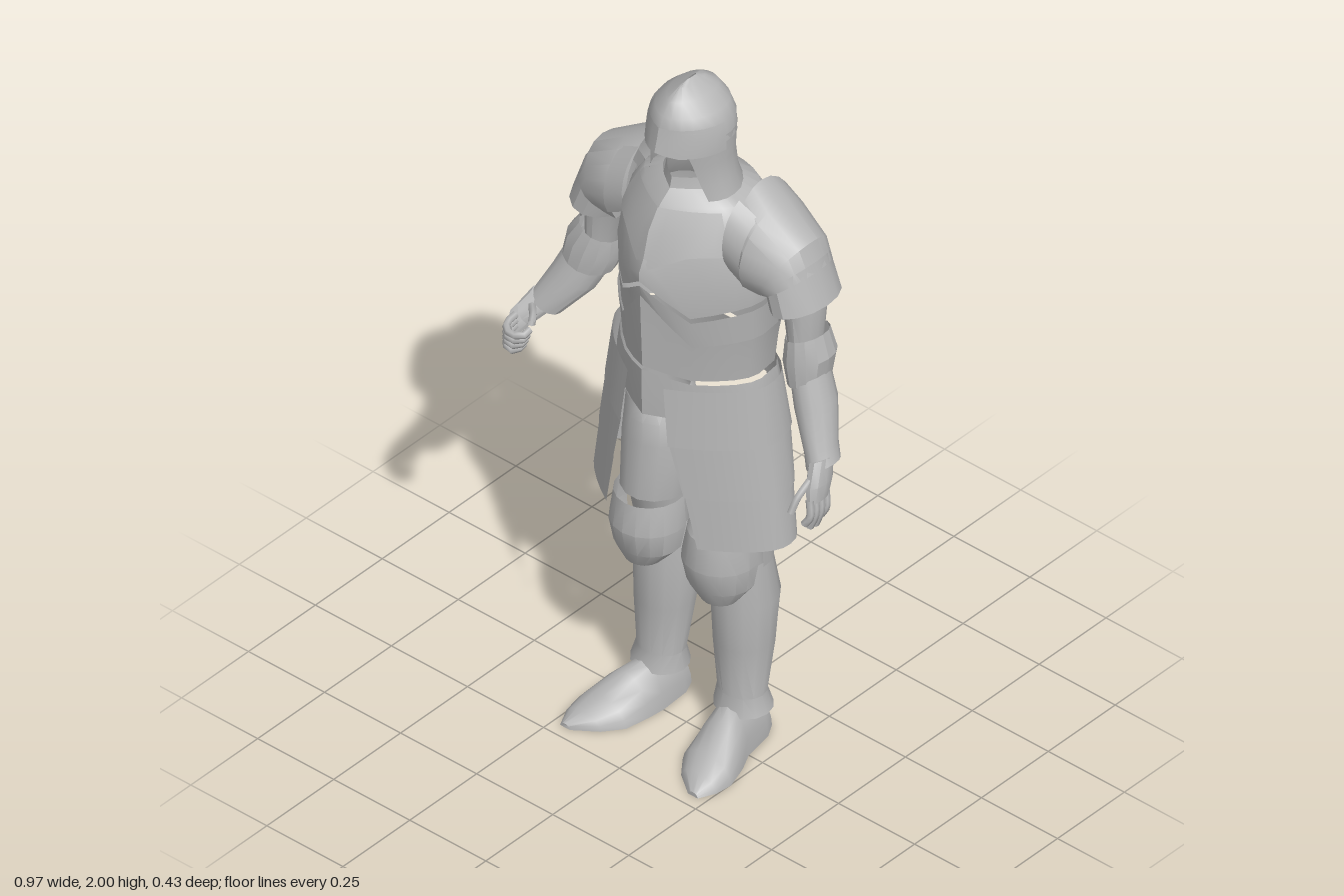
import * as THREE from 'three';
import { toCreasedNormals } from 'three/addons/utils/BufferGeometryUtils.js';

const steel = new THREE.MeshStandardMaterial({ color: 0xb4b4b4, side: THREE.DoubleSide });
steel.name = 'steel';
const RAD = Math.PI / 180;

// Skin a list of rings; closed joins each ring's ends, caps fill the first and last ring
function loft(name, rings, { closed = true, caps = false, crease = 32 } = {}) {
  const n = rings[0].length, pos = rings.flat(2), idx = [];
  const span = closed ? n : n - 1;
  for (let r = 0; r < rings.length - 1; r++)
    for (let i = 0; i < span; i++) {
      const a = r * n + i, b = r * n + (i + 1) % n;
      idx.push(a, b, a + n, b, b + n, a + n);
    }
  if (caps) {
    const last = (rings.length - 1) * n;
    for (let i = 1; i < n - 1; i++) idx.push(0, i + 1, i, last, last + i, last + i + 1);
  }
  const g = new THREE.BufferGeometry();
  g.setAttribute('position', new THREE.Float32BufferAttribute(pos, 3));
  g.setIndex(idx);
  const mesh = new THREE.Mesh(toCreasedNormals(g, crease * RAD), steel);
  mesh.name = name;
  return mesh;
}

// Angles of a ring: full circle without its last point, or an arc with both ends
function angles(n, a0, a1) {
  const full = a1 - a0 >= 360;
  return Array.from({ length: full ? n : n + 1 }, (_, i) => (a0 + (a1 - a0) * i / n) * RAD);
}

// Body ring around x = 0: keel sharpens the front, back flattens the rear, dip and side shape a chevron edge
function bodyRing(y, rx, z0, z1, { keel = 0.5, back = 0.55, dip = 0, side = 0, n = 24, a0 = 0, a1 = 360 } = {}) {
  const cz = -0.03;
  return angles(n, a0, a1).map(t => {
    const s = Math.abs(Math.sin(t)), c = Math.cos(t), front = c > -1e-6;
    const z = front ? (z1 - cz) * (keel * (1 - s) + (1 - keel) * c) : (z0 - cz) * Math.pow(-c, back);
    const rise = front ? (s < 0.5 ? dip * (1 - s / 0.5) : side * (s - 0.5) / 0.5) : side;
    return [rx * Math.sin(t), y + rise, cz + z];
  });
}

// Limb ring through an outer and an inner point of the front outline, with a depth range
function limbRing([xo, yo, xi, yi, z0, z1], n = 14, a0 = 0, a1 = 360) {
  return angles(n, a0, a1).map(t => {
    const c = Math.cos(t) / 2, s = Math.sin(t) / 2;
    return [(xo + xi) / 2 + (xo - xi) * c, (yo + yi) / 2 + (yo - yi) * c, (z0 + z1) / 2 + (z1 - z0) * s];
  });
}

function limb(name, rows, { n = 14, a0 = 0, a1 = 360, ...opts } = {}) {
  return loft(name, rows.map(r => limbRing(r, n, a0, a1)), { closed: a1 - a0 >= 360, ...opts });
}

// Level ring rows [y, inner x, outer x, back z, front z]
const level = rows => rows.map(([y, xi, xo, z0, z1]) => [xo, y, xi, y, z0, z1]);

function finger(name, points) {
  const path = new THREE.CatmullRomCurve3(points.map(p => new THREE.Vector3(...p)));
  const mesh = new THREE.Mesh(new THREE.TubeGeometry(path, 6, 0.0105, 6), steel);
  mesh.name = name;
  return mesh;
}

function makeHead() {
  const g = new THREE.Group();
  g.name = 'helmet';
  const k = { keel: 0.12, back: 0.9 };
  g.add(loft('skull', [
    bodyRing(1.85, 0.11, -0.127, 0.1, k), bodyRing(1.9, 0.106, -0.128, 0.103, k),
    bodyRing(1.935, 0.088, -0.118, 0.088, k), bodyRing(1.967, 0.052, -0.098, 0.062, k),
    bodyRing(1.99, 0.016, -0.064, 0.025, k), bodyRing(2, 0.002, -0.035, -0.005, k)], { crease: 40 }));
  const brow = { keel: 0.2, n: 12, a0: -85, a1: 85 };
  g.add(loft('browPlate', [
    bodyRing(1.91, 0.106, -0.127, 0.104, brow), bodyRing(1.88, 0.114, -0.127, 0.11, brow),
    bodyRing(1.83, 0.115, -0.127, 0.12, { ...brow, dip: 0.012 })], { closed: false }));
  const wall = a => ({ keel: 0.1, back: 0.9, n: 18, a0: a, a1: 360 - a });
  g.add(loft('cheekAndNeckGuard', [
    bodyRing(1.87, 0.11, -0.127, 0.1, wall(30)), bodyRing(1.79, 0.106, -0.124, 0.09, wall(42)),
    bodyRing(1.73, 0.112, -0.13, 0.08, wall(48)), bodyRing(1.685, 0.124, -0.145, 0.07, wall(52))], { closed: false }));
  g.add(loft('gorget', [
    bodyRing(1.6, 0.13, -0.14, 0.1), bodyRing(1.67, 0.088, -0.11, 0.068),
    bodyRing(1.73, 0.076, -0.1, 0.055)]));
  return g;
}

function makeTorso() {
  const g = new THREE.Group();
  g.name = 'torso';
  g.add(loft('breastplate', [
    bodyRing(1.375, 0.222, -0.198, 0.178, { dip: 0.1, side: 0.03 }),
    bodyRing(1.44, 0.225, -0.21, 0.178, { dip: 0.06, side: 0.02 }),
    bodyRing(1.53, 0.213, -0.215, 0.163), bodyRing(1.61, 0.19, -0.205, 0.132),
    bodyRing(1.67, 0.15, -0.175, 0.098), bodyRing(1.7, 0.09, -0.13, 0.06)]));
  const arc = { n: 12, a0: -55, a1: 55 };
  g.add(loft('upperChestPlate', [
    bodyRing(1.665, 0.165, -0.17, 0.107, arc), bodyRing(1.61, 0.197, -0.2, 0.142, arc),
    bodyRing(1.56, 0.213, -0.2, 0.17, { ...arc, dip: -0.06 })], { closed: false }));
  g.add(loft('middleBand', [
    bodyRing(1.27, 0.218, -0.183, 0.165, { dip: 0.145, side: 0.02 }),
    bodyRing(1.36, 0.224, -0.194, 0.176, { dip: 0.1, side: 0.03 })]));
  g.add(loft('waistPlate', [
    bodyRing(1.175, 0.212, -0.17, 0.165, { dip: 0.03 }),
    bodyRing(1.24, 0.219, -0.178, 0.17, { dip: 0.08, side: 0.01 }),
    bodyRing(1.285, 0.227, -0.188, 0.174, { dip: 0.145, side: 0.02 })]));
  g.add(loft('hipPlate', [
    bodyRing(1.165, 0.22, -0.165, 0.168, { dip: 0.03 }),
    bodyRing(1.11, 0.23, -0.172, 0.168, { dip: 0.015 }), bodyRing(1.055, 0.235, -0.178, 0.165)]));
  return g;
}

// Shoulder plates, upper arm and skirt plate, for the left side
function makeSide() {
  const g = new THREE.Group();
  g.add(limb('shoulderPlate', [
    [0.17, 1.725, 0.19, 1.45, -0.195, 0.02], [0.235, 1.69, 0.2, 1.42, -0.2, 0.05],
    [0.34, 1.62, 0.23, 1.43, -0.185, 0.04], [0.37, 1.55, 0.24, 1.45, -0.177, 0.033]], { a0: -125, a1: 125 }));
  g.add(limb('chestWing', [
    [0.165, 1.71, 0.165, 1.47, -0.14, 0.055], [0.225, 1.68, 0.22, 1.44, -0.16, 0.058]], { n: 6, a0: 20, a1: 120 }));
  g.add(limb('shoulderLame', [
    [0.362, 1.575, 0.24, 1.47, -0.174, 0.03], [0.402, 1.46, 0.258, 1.425, -0.178, 0.035]]));
  g.add(limb('upperArm', [
    [0.36, 1.55, 0.25, 1.47, -0.15, 0.0], [0.375, 1.43, 0.282, 1.4, -0.135, -0.01], [0.37, 1.32, 0.3, 1.29, -0.12, -0.015]]));
  // three skirt lames following the body's ridge: [y, width, back z, front z, front edge angle]
  const skirt = [[1.155, 0.243, -0.172, 0.182, 14], [1.0, 0.264, -0.188, 0.194, 17],
    [0.85, 0.285, -0.168, 0.196, 24], [0.7, 0.304, -0.142, 0.196, 29]];
  const row = ([y, rx, z0, z1, a0], drop, grow) =>
    bodyRing(y - drop, rx + grow, z0 - grow, z1 + grow, { n: 14, a0, a1: 155, back: 0.7 });
  for (let i = 0; i < 3; i++)
    g.add(loft('skirtLame', [row(skirt[i], 0, 0), row(skirt[i + 1], 0.012, 0.004)], { closed: false }));
  return g;
}

// Leg armour, for the left side
function makeLeg() {
  const g = new THREE.Group();
  g.add(limb('thigh', level([[0.96, 0.06, 0.205, -0.14, 0.045], [0.91, 0.025, 0.212, -0.15, 0.055],
    [0.85, 0.012, 0.215, -0.15, 0.065], [0.68, 0.03, 0.212, -0.135, 0.07]])));
  g.add(limb('kneeJoint', level([[0.7, 0.045, 0.2, -0.12, 0.05], [0.5, 0.06, 0.195, -0.12, 0.0]])));
  g.add(limb('kneeCap', level([[0.672, 0.03, 0.212, -0.1, 0.092], [0.59, 0.018, 0.22, -0.1, 0.106],
    [0.52, 0.03, 0.21, -0.08, 0.09], [0.47, 0.075, 0.175, -0.03, 0.065]]), { n: 10, a0: -15, a1: 195, crease: 25 }));
  g.add(limb('kneeBackBand', level([[0.645, 0.03, 0.212, -0.142, 0.04], [0.56, 0.035, 0.21, -0.145, 0.03]]),
    { n: 10, a0: 175, a1: 365 }));
  g.add(limb('shinPlate', level([[0.56, 0.055, 0.2, -0.142, 0.005], [0.43, 0.042, 0.213, -0.168, 0.015],
    [0.3, 0.05, 0.21, -0.148, 0.01], [0.15, 0.066, 0.2, -0.115, 0.0], [0.1, 0.058, 0.215, -0.13, 0.015]])));
  // foot sections along z: [x, z, half width, height]
  const foot = [[0.132, -0.13, 0.035, 0.06], [0.135, -0.09, 0.055, 0.1], [0.14, 0.0, 0.065, 0.125],
    [0.155, 0.05, 0.075, 0.105], [0.173, 0.12, 0.08, 0.06], [0.19, 0.17, 0.058, 0.035], [0.21, 0.215, 0.016, 0.012]];
  g.add(loft('foot', foot.map(([x, z, w, h]) => angles(8, 0, 180).map(t =>
    [x + w * Math.cos(t), h * Math.sin(t), z])), { caps: true, crease: 45 }));
  return g;
}

// Left arm hangs with an open hand
function makeLeftArm() {
  const g = new THREE.Group();
  g.name = 'leftForearm';
  g.add(limb('elbowCap', [[0.39, 1.365, 0.288, 1.335, -0.13, -0.005], [0.41, 1.3, 0.285, 1.275, -0.142, 0.008],
    [0.402, 1.235, 0.305, 1.205, -0.125, 0.005]], { crease: 20 }));
  g.add(limb('forearm', [[0.395, 1.28, 0.305, 1.24, -0.115, -0.005], [0.432, 1.18, 0.335, 1.15, -0.11, 0.012],
    [0.462, 1.08, 0.39, 1.05, -0.07, 0.03], [0.478, 1.04, 0.405, 1.01, -0.06, 0.04]]));
  g.add(limb('palm', [[0.468, 1.06, 0.415, 1.04, -0.04, 0.035], [0.482, 1.0, 0.435, 0.99, -0.02, 0.07],
    [0.48, 0.955, 0.45, 0.95, 0.0, 0.075]], { n: 10, caps: true }));
  for (let i = 0; i < 4; i++) {
    const z = 0.008 + i * 0.02, end = [0.89, 0.872, 0.875, 0.895][i];
    g.add(finger('finger', [[0.465, 0.965, z], [0.472, 0.92, z + 0.006], [0.458, end, z + 0.012]]));
  }
  g.add(finger('thumb', [[0.45, 1.01, 0.05], [0.442, 0.97, 0.09], [0.438, 0.935, 0.108]]));
  return g;
}

// Right arm bends forward with curled fingers
function makeRightArm() {
  const g = new THREE.Group();
  g.name = 'rightForearm';
  g.add(limb('elbowCap', [[-0.395, 1.36, -0.28, 1.32, -0.135, -0.01], [-0.43, 1.31, -0.28, 1.265, -0.145, 0.005],
    [-0.438, 1.25, -0.3, 1.215, -0.13, 0.01]], { crease: 20 }));
  g.add(limb('forearm', [[-0.425, 1.28, -0.305, 1.23, -0.125, -0.01], [-0.455, 1.2, -0.335, 1.16, -0.095, 0.02],
    [-0.484, 1.12, -0.4, 1.08, -0.02, 0.055]]));
  g.add(limb('palm', [[-0.48, 1.13, -0.42, 1.085, 0.0, 0.05], [-0.492, 1.1, -0.455, 1.045, 0.04, 0.085],
    [-0.488, 1.095, -0.465, 1.03, 0.09, 0.115]], { n: 10, caps: true }));
  for (let i = 0; i < 4; i++) {
    const y = 1.085 - i * 0.017, x = 0.006 * i;
    g.add(finger('finger', [[-0.475, y, 0.1], [-0.472, y - 0.005, 0.135], [-0.445, y - 0.01, 0.156],
      [-0.41 - x, y - 0.006, 0.146], [-0.408 - x, y, 0.122]]));
  }
  g.add(finger('thumb', [[-0.455, 1.1, 0.06], [-0.425, 1.105, 0.09], [-0.408, 1.1, 0.115]]));
  return g;
}

export function createModel() {
  const model = new THREE.Group();
  model.name = 'plateArmour';
  model.add(makeHead(), makeTorso(), makeLeftArm(), makeRightArm());
  for (const [name, sign] of [['left', 1], ['right', -1]]) {
    const side = makeSide(), leg = makeLeg();
    side.name = name + 'ShoulderAndSkirt';
    leg.name = name + 'Leg';
    side.scale.x = leg.scale.x = sign;
    model.add(side, leg);
  }
  return model;
}
